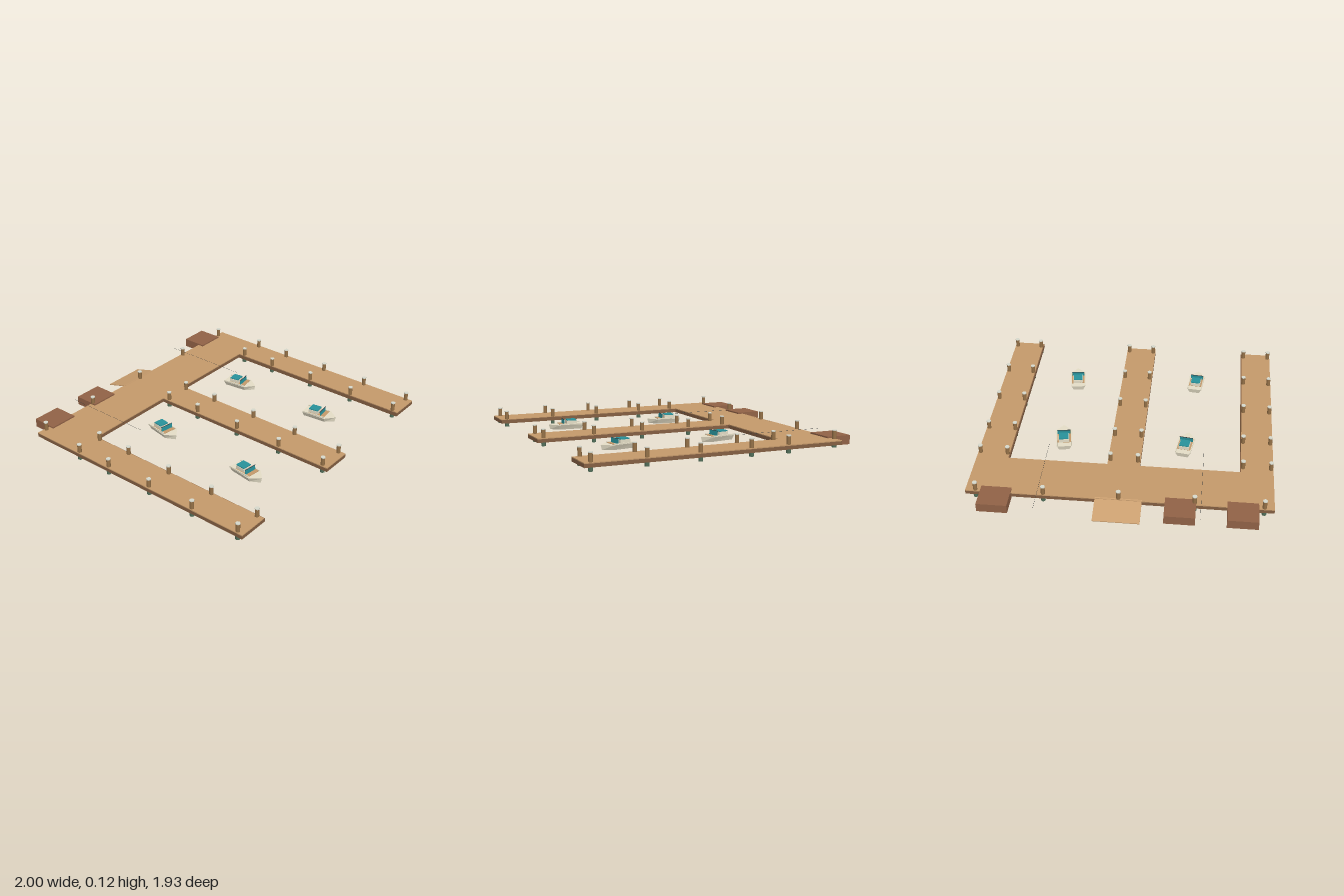
import * as THREE from 'three';
import { mergeGeometries } from 'three/addons/utils/BufferGeometryUtils.js';

const mat = (name, color) => {
  const m = new THREE.MeshStandardMaterial({ color });
  m.name = name;
  return m;
};

export function createModel() {
  const M = {
    plank: mat('plankWood', 0xc4996a),
    beam: mat('beamWood', 0x845f42),
    crate: mat('crateWood', 0x916246),
    ramp: mat('rampWood', 0xcb9f6f),
    pile: mat('pileWood', 0x967248),
    algae: mat('algaeGreen', 0x526f5a),
    cap: mat('capGrey', 0xd6d8cc),
    hull: mat('hullCream', 0xe4ddc6),
    teal: mat('tealCanvas', 0x28929b),
    dark: mat('darkTrim', 0x34383a),
  };
  const root = new THREE.Group();
  root.name = 'marinaDock';

  const add = (parent, name, geo, material) => {
    const mesh = new THREE.Mesh(geo, material);
    mesh.name = name;
    parent.add(mesh);
    return mesh;
  };
  // Box given by its limits
  const span = (x0, x1, y0, y1, z0, z1) =>
    new THREE.BoxGeometry(x1 - x0, y1 - y0, z1 - z0)
      .translate((x0 + x1) / 2, (y0 + y1) / 2, (z0 + z1) / 2);

  // Walkway: darker frame below a row of close-laid boards
  const walkway = (name, x0, x1, z0, z1, alongX) => {
    const g = new THREE.Group();
    g.name = name;
    add(g, 'frame', span(x0, x1, 0.025, 0.049, z0, z1), M.beam);
    const a = alongX ? x0 : z0, b = alongX ? x1 : z1;
    const n = Math.round((b - a) / 0.0285), step = (b - a) / n;
    const boards = [];
    for (let i = 0; i < n; i++) {
      const p = a + i * step, q = p + step;
      boards.push(alongX ? span(p, q, 0.049, 0.055, z0, z1) : span(x0, x1, 0.049, 0.055, p, q));
    }
    add(g, 'planks', mergeGeometries(boards), M.plank);
    root.add(g);
  };
  walkway('mainWalkway', -1, 1, -0.81, -0.46, true);
  walkway('rightPier', -1, -0.785, -0.46, 0.965, false);
  walkway('middlePier', -0.11, 0.11, -0.46, 0.965, false);
  walkway('leftPier', 0.785, 1, -0.46, 0.965, false);

  // Edge beams on the inner sides of the outer piers
  for (const s of [-1, 1])
    add(root, 'edgeBeam', span(s * 0.782 - 0.003, s * 0.782 + 0.003, 0.025, 0.051, -0.46, 0.965), M.beam);

  // Piles with a weedy foot and a pale cap
  const pileAt = (x, z) => {
    const g = new THREE.Group();
    g.name = 'pile';
    const part = (name, r, y0, y1, m) =>
      add(g, name, new THREE.CylinderGeometry(r, r, y1 - y0, 8).translate(0, (y0 + y1) / 2, 0), m);
    part('pileFoot', 0.0155, 0, 0.024, M.algae);
    part('pilePost', 0.014, 0.024, 0.11, M.pile);
    part('pileCap', 0.016, 0.11, 0.116, M.cap);
    g.position.set(x, 0, z);
    root.add(g);
  };
  for (const z of [-0.415, -0.145, 0.21, 0.565, 0.92])
    for (const x of [-0.983, -0.797, -0.093, 0.093, 0.797, 0.983]) pileAt(x, z);
  for (const x of [-0.935, -0.49, 0, 0.49, 0.935]) pileAt(x, -0.795);

  // Storage boxes along the shore side
  for (const x of [-0.8, -0.4, 0.8])
    add(root, 'storageBox', span(x - 0.1, x + 0.1, 0.003, 0.065, -0.945, -0.768), M.crate);

  // Sloping gangway with a pale plate set beneath
  const gangway = new THREE.Group();
  gangway.name = 'gangway';
  add(gangway, 'rampDeck', new THREE.BoxGeometry(0.305, 0.006, 0.178), M.ramp);
  add(gangway, 'rampPlate', span(-0.135, 0.135, -0.005, -0.003, -0.062, 0.086), M.cap);
  gangway.position.set(0, 0.03, -0.882);
  gangway.rotation.x = -0.27;
  root.add(gangway);

  // Thin cables lying over the main walkway
  for (const x of [-0.532, 0.532])
    add(root, 'cable', new THREE.CylinderGeometry(0.0007, 0.0007, 0.65, 6).rotateX(Math.PI / 2)
      .translate(x, 0.0555, -0.615), M.dark);

  // Hull: plan outline lofted from a narrow bottom to a wide rim
  const hullGeometry = () => {
    const plan = [[-0.05, -0.12], [-0.06, 0.055], [0, 0.12], [0.06, 0.055], [0.05, -0.12]];
    const rim = plan.map(([x, z]) => [x, 0.048, z]);
    const keel = plan.map(([x, z]) => [x * 0.72, 0.014, z * 0.93]);
    const pos = [];
    const tri = (a, b, c) => pos.push(...a, ...b, ...c);
    for (let i = 0; i < 5; i++) {
      const j = (i + 1) % 5;
      tri(keel[i], rim[j], rim[i]);
      tri(keel[i], keel[j], rim[j]);
    }
    for (let i = 1; i < 4; i++) {
      tri(rim[0], rim[i], rim[i + 1]);
      tri(keel[0], keel[i + 1], keel[i]);
    }
    const geo = new THREE.BufferGeometry();
    geo.setAttribute('position', new THREE.Float32BufferAttribute(pos, 3));
    geo.computeVertexNormals();
    return geo;
  };
  const boatAt = (x, z, turn) => {
    const b = new THREE.Group();
    b.name = 'boat';
    add(b, 'hull', hullGeometry(), M.hull);
    add(b, 'cockpitFloor', span(-0.047, 0.047, 0.048, 0.051, -0.078, 0.048), M.plank);
    for (const s of [-1, 1])
      add(b, 'sideRail', span(s * 0.05 - 0.003, s * 0.05 + 0.003, 0.046, 0.056, -0.118, 0.05), M.hull);
    add(b, 'cabin', span(-0.036, 0.036, 0.05, 0.074, -0.078, -0.006), M.hull);
    add(b, 'canopy', span(-0.033, 0.033, 0.074, 0.081, -0.075, -0.009), M.teal);
    // Windscreen with a slim dark top edge
    const screen = new THREE.Group();
    screen.name = 'windscreen';
    add(screen, 'glass', span(-0.045, 0.045, 0, 0.032, -0.0015, 0.0015), M.teal);
    add(screen, 'glassEdge', span(-0.047, 0.047, 0.032, 0.034, -0.002, 0.002), M.dark);
    screen.position.set(0, 0.05, 0.018);
    screen.rotation.x = -0.08;
    b.add(screen);
    b.position.set(x, 0, z);
    b.rotation.y = turn;
    root.add(b);
  };
  boatAt(-0.404, -0.175, -0.15);
  boatAt(0.447, -0.175, 0.15);
  boatAt(-0.448, 0.584, -0.11);
  boatAt(0.447, 0.54, 0.14);

  return root;
}
